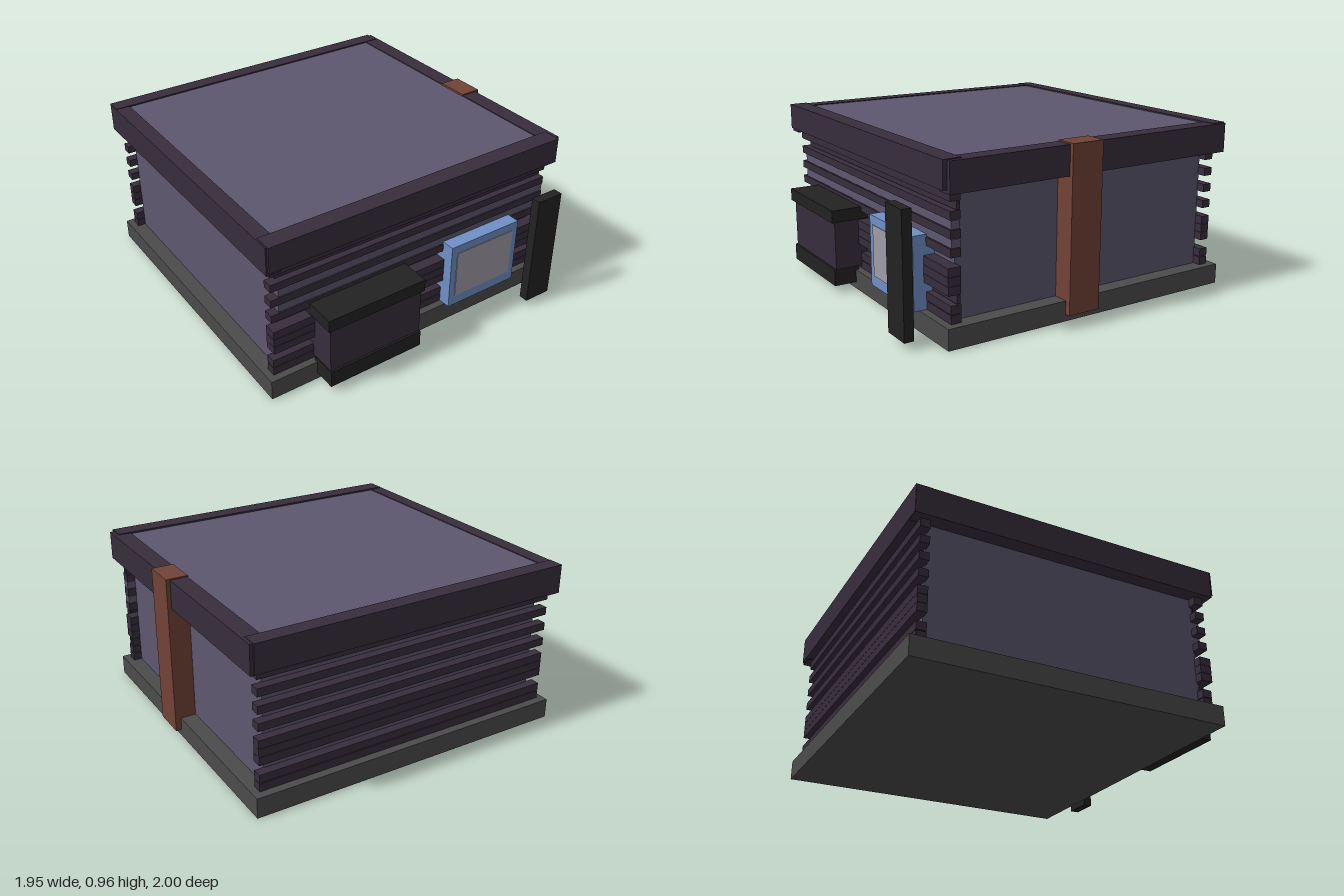
import * as THREE from 'three';

const mat = (name, color) => {
  const m = new THREE.MeshStandardMaterial({ color });
  m.name = name;
  return m;
};

export function createModel() {
  const stone = mat('grey stone', 0x4b4b4b);
  const wood = mat('dark plank', 0x382d3c);
  const wall = mat('slate purple', 0x5d576f);
  const brick = mat('brown brick', 0x724236);
  const black = mat('black trim', 0x222222);
  const blue = mat('blue frame', 0x7090c8);
  const pane = mat('pale pane', 0xa09ca8);

  const model = new THREE.Group();
  model.name = 'cabin';

  // Box given by its extents on each axis
  const box = (name, m, [x0, x1], [y0, y1], [z0, z1], parent = model) => {
    const mesh = new THREE.Mesh(new THREE.BoxGeometry(x1 - x0, y1 - y0, z1 - z0), m);
    mesh.position.set((x0 + x1) / 2, (y0 + y1) / 2, (z0 + z1) / 2);
    mesh.name = name;
    parent.add(mesh);
    return mesh;
  };
  const group = (name) => {
    const g = new THREE.Group();
    g.name = name;
    model.add(g);
    return g;
  };

  // Foundation and inner walls
  box('foundation', stone, [-0.975, 0.94], [0, 0.115], [-1, 0.82]);
  box('walls', wall, [-0.89, 0.85], [0.115, 0.93], [-0.905, 0.73]);

  // Roof panel with its rim beams
  box('roofPanel', wall, [-0.9, 0.86], [0.9, 0.95], [-0.92, 0.74]);
  const rim = group('roofRim');
  box('frontBeam', wood, [-0.967, 0.925], [0.81, 0.96], [0.73, 0.834], rim);
  box('backBeam', wood, [-0.973, 0.932], [0.795, 0.958], [-1, -0.91], rim);
  box('leftBeam', wood, [-0.975, -0.89], [0.79, 0.955], [-0.997, 0.82], rim);
  box('rightBeam', wood, [0.85, 0.95], [0.79, 0.955], [-0.99, 0.81], rim);

  // Long planks whose ends stick out past the corners, front and back
  const planks = group('planks');
  const rows = [
    [0.117, 0.163], [0.167, 0.213], [0.267, 0.313], [0.315, 0.361], [0.363, 0.41],
    [0.46, 0.505], [0.555, 0.6], [0.65, 0.695], [0.743, 0.79],
  ];
  for (const y of rows) {
    const thick = y[0] > 0.25 && y[1] < 0.45 ? 0.015 : 0;
    box('frontPlank', wood, [-0.937, 0.9], y, [0.722, 0.78 + thick], planks);
    box('backPlank', wood, [-0.937, 0.9], y, [-0.955, -0.9], planks);
  }
  // Short recessed infill boards on the front
  for (const y of [[0.217, 0.263], [0.698, 0.74]])
    box('frontInfill', wood, [-0.89, 0.9], y, [0.725, 0.745], planks);
  for (const y of [[0.508, 0.552], [0.603, 0.647]])
    box('paleBoard', wall, [-0.89, 0.9], y, [0.725, 0.775], planks);

  // Chimney on the side
  box('chimney', brick, [0.847, 0.973], [0.04, 0.962], [-0.09, 0.105]);

  // Framed window
  const windowGroup = group('window');
  box('windowFrame', blue, [0.17, 0.655], [0.117, 0.52], [0.73, 0.855], windowGroup);
  box('windowPane', pane, [0.21, 0.617], [0.18, 0.47], [0.852, 0.859], windowGroup);

  // Projecting bay with black cap and sill
  const bay = group('bay');
  box('bayBody', wood, [-0.69, -0.11], [0.13, 0.42], [0.73, 0.94], bay);
  box('bayCap', black, [-0.71, -0.1], [0.415, 0.487], [0.74, 0.958], bay);
  box('baySill', black, [-0.695, -0.108], [0.04, 0.138], [0.8, 0.952], bay);

  // Free-standing upright in front
  box('upright', black, [0.65, 0.82], [0.04, 0.72], [0.945, 1]);

  return model;
}
